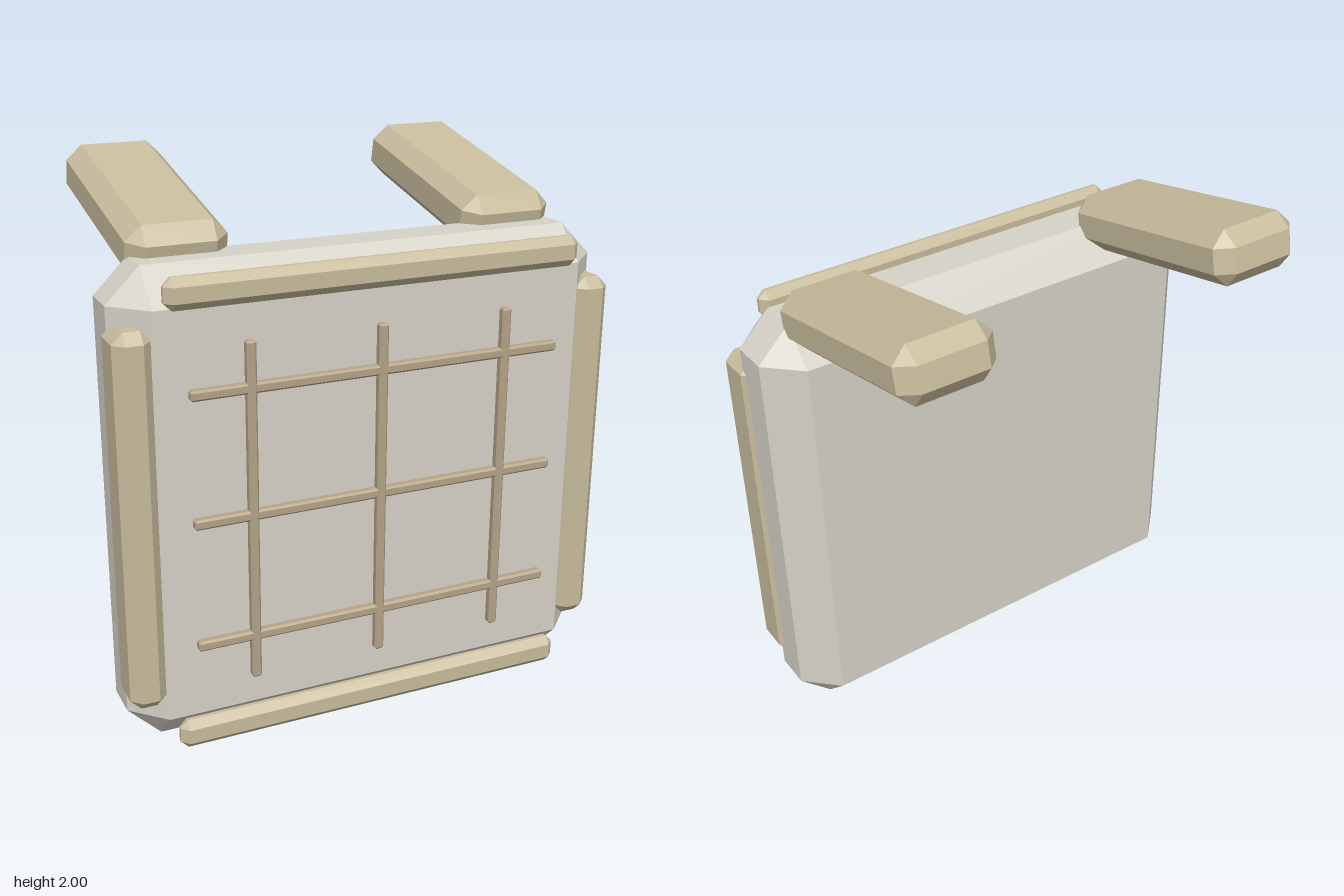
import * as THREE from 'three';
import { ConvexGeometry } from 'three/addons/geometries/ConvexGeometry.js';

const material = (color) => new THREE.MeshStandardMaterial({ color, flatShading: true });

// Box with every edge cut at 45 degrees by c
function chamferBox(w, h, d, c) {
  const points = [];
  for (const x of [-1, 1]) for (const y of [-1, 1]) for (const z of [-1, 1]) {
    for (const [a, b, e] of [[0, c, c], [c, 0, c], [c, c, 0]]) {
      points.push(new THREE.Vector3(x * (w / 2 - a), y * (h / 2 - b), z * (d / 2 - e)));
    }
  }
  return new ConvexGeometry(points);
}

export function createModel() {
  const model = new THREE.Group();
  model.name = 'chestPlate';
  const panelMaterial = material(0xd6d2c8);
  const trimMaterial = material(0xc8bc9c);
  const barMaterial = material(0xb5a487);

  function add(name, size, chamfer, position, mat) {
    const mesh = new THREE.Mesh(chamferBox(...size, chamfer), mat);
    mesh.name = name;
    mesh.position.set(...position);
    model.add(mesh);
    return mesh;
  }

  // Main slab
  add('panel', [1.84, 1.74, 0.386, ], 0.122, [0, 0.872, 0.308], panelMaterial);

  // Side rails and shoulder straps, mirrored
  for (const [side, s] of [['left', 1], ['right', -1]]) {
    add(side + 'Rail', [0.135, 1.37, 0.19], 0.038, [s * 0.867, 0.873, 0.43], trimMaterial);
    const strap = add(side + 'ShoulderStrap', [0.36, 0.204, 0.86], 0.056,
      [s * 0.63, 1.824, -0.121], trimMaterial);
    strap.rotation.x = 0.209;
  }

  // Rails along the top and bottom edges
  add('topRail', [1.54, 0.11, 0.07], 0.028, [0, 1.675, 0.52], trimMaterial);
  add('bottomRail', [1.54, 0.11, 0.07], 0.028, [0, 0.069, 0.52], trimMaterial);

  // Raised grid of thin bars
  for (const x of [-0.482, 0, 0.482]) {
    add('verticalBar', [0.035, 1.25, 0.035], 0.007, [x, 0.872, 0.532], barMaterial);
  }
  for (const y of [0.413, 0.874, 1.332]) {
    add('horizontalBar', [1.39, 0.037, 0.035], 0.007, [0, y, 0.53], barMaterial);
  }
  return model;
}
